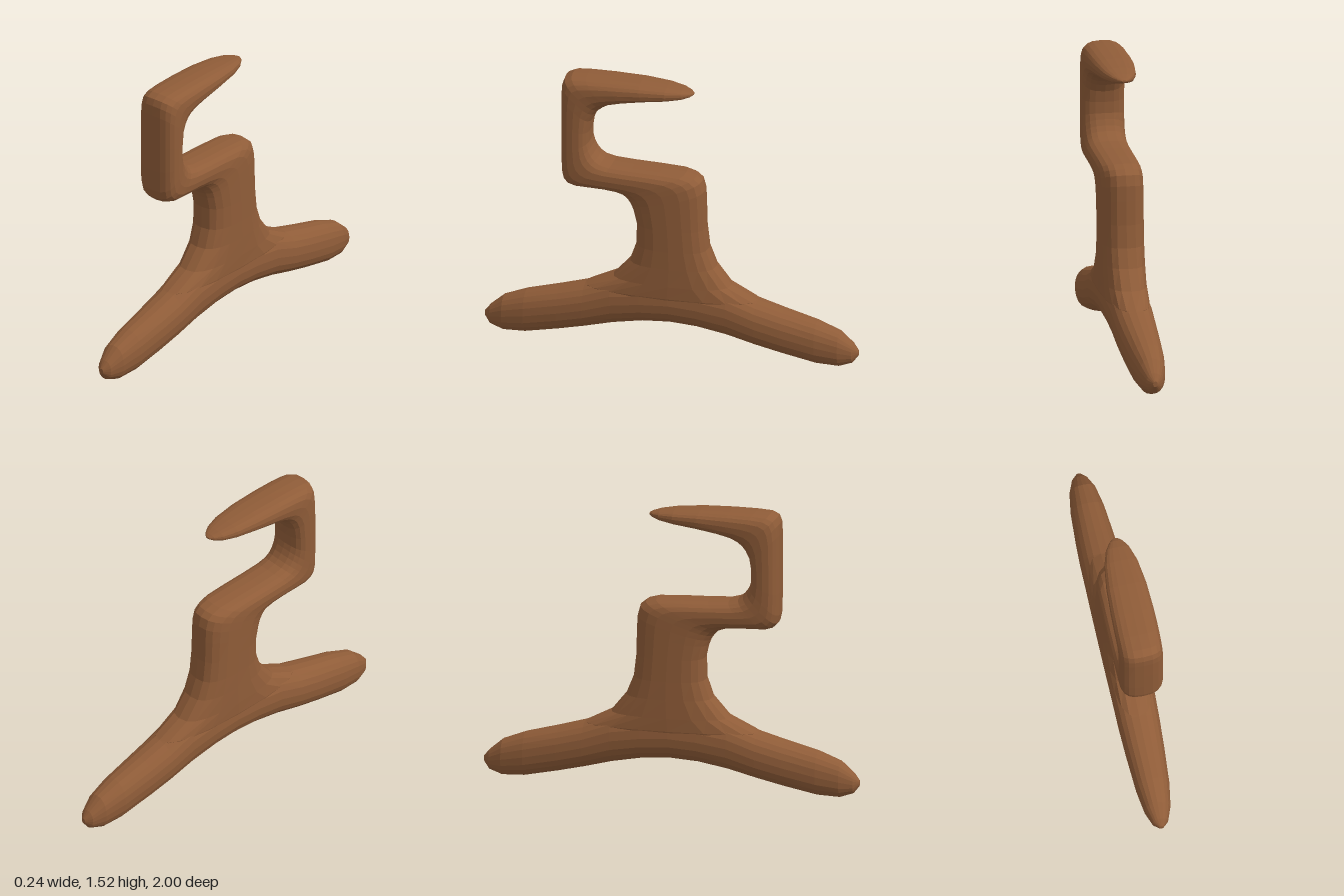
import * as THREE from 'three';

const SIDES = 20;

// Skin a row of rounded sections. Each section spans edge A to edge B
// in the z-y plane: [zA, yA, zB, yB, half width in x].
function loft(sections, power) {
  const pos = [];
  const index = [];
  const round = (v) => Math.sign(v) * Math.pow(Math.abs(v), 2 / power);
  sections.forEach(([za, ya, zb, yb, w]) => {
    for (let j = 0; j < SIDES; j++) {
      const a = (j / SIDES) * Math.PI * 2;
      const t = 0.5 + 0.5 * round(Math.cos(a));
      pos.push(w * round(Math.sin(a)), ya + (yb - ya) * t, za + (zb - za) * t);
    }
  });
  for (let i = 0; i < sections.length - 1; i++) {
    for (let j = 0; j < SIDES; j++) {
      const k = (j + 1) % SIDES;
      const a = i * SIDES + j, b = i * SIDES + k;
      index.push(a, b, b + SIDES, a, b + SIDES, a + SIDES);
    }
  }
  // End caps
  const last = (sections.length - 1) * SIDES;
  for (let j = 1; j < SIDES - 1; j++) {
    index.push(0, j + 1, j, last, last + j, last + j + 1);
  }
  const geo = new THREE.BufferGeometry();
  geo.setAttribute('position', new THREE.Float32BufferAttribute(pos, 3));
  geo.setIndex(index);
  geo.computeVertexNormals();
  return geo;
}

export function createModel() {
  const group = new THREE.Group();
  const wood = new THREE.MeshStandardMaterial({ color: 0x8f5c38, flatShading: true });
  const add = (name, geo) => {
    const mesh = new THREE.Mesh(geo, wood);
    mesh.name = name;
    group.add(mesh);
  };

  // Arched base with two tapering legs: [z, bottom, top, half width], mirrored
  const leg = [
    [1.0, 0.07, 0.1, 0.012], [0.97, 0.03, 0.137, 0.042], [0.9, 0.006, 0.197, 0.07],
    [0.78, 0.012, 0.243, 0.09], [0.6, 0.05, 0.29, 0.103], [0.46, 0.083, 0.33, 0.11],
    [0.31, 0.122, 0.39, 0.114], [0.15, 0.152, 0.41, 0.117],
  ];
  const span = [
    ...leg,
    [0, 0.162, 0.42, 0.118],
    ...leg.slice().reverse().map(([z, b, t, w]) => [-z, b, t, w]),
  ];
  add('baseLegs', loft(span.map(([z, b, t, w]) => [z, b, z, t, w]), 2.3));

  // Column flaring out of the base
  const column = [
    [-0.45, 0.25, 0.45, 0.25, 0.1],
    [-0.46, 0.33, 0.46, 0.33, 0.116],
    [-0.32, 0.4, 0.31, 0.4, 0.117],
    [-0.24, 0.5, 0.22, 0.5, 0.116],
    [-0.2, 0.6, 0.185, 0.6, 0.115],
    [-0.186, 0.72, 0.183, 0.72, 0.115],
  ];
  // Bend from the column to the forward shelf
  const shelf = [
    [-0.183, 0.85, 0.2, 0.79, 0.115],
    [-0.18, 0.93, 0.212, 0.82, 0.115],
    [-0.165, 0.985, 0.228, 0.845, 0.115],
    [-0.135, 1.01, 0.245, 0.862, 0.115],
    [-0.08, 1.025, 0.265, 0.877, 0.115],
    [0.05, 1.031, 0.3, 0.89, 0.115],
    [0.2, 1.035, 0.36, 0.897, 0.115],
    [0.31, 1.042, 0.44, 0.899, 0.115],
    [0.36, 1.056, 0.51, 0.9, 0.115],
  ];
  // Upright at the front
  const upright = [
    [0.385, 1.075, 0.55, 0.912, 0.115],
    [0.405, 1.1, 0.572, 0.935, 0.115],
    [0.42, 1.13, 0.581, 0.98, 0.115],
    [0.43, 1.16, 0.583, 1.1, 0.115],
    [0.43, 1.22, 0.583, 1.25, 0.115],
    [0.42, 1.28, 0.583, 1.42, 0.115],
    [0.4, 1.32, 0.58, 1.475, 0.115],
    [0.38, 1.345, 0.567, 1.51, 0.115],
  ];
  // Top arm tapering backwards to a tip
  const arm = [
    [0.355, 1.365, 0.53, 1.527, 0.115],
    [0.32, 1.385, 0.45, 1.531, 0.115],
    [0.25, 1.405, 0.32, 1.531, 0.113],
    [0.14, 1.425, 0.16, 1.527, 0.106],
    [0.02, 1.44, 0.02, 1.516, 0.088],
    [-0.06, 1.453, -0.06, 1.504, 0.062],
    [-0.1, 1.465, -0.1, 1.493, 0.035],
    [-0.118, 1.475, -0.118, 1.484, 0.012],
  ];
  add('columnAndHook', loft([...column, ...shelf, ...upright, ...arm], 2.7));

  return group;
}
